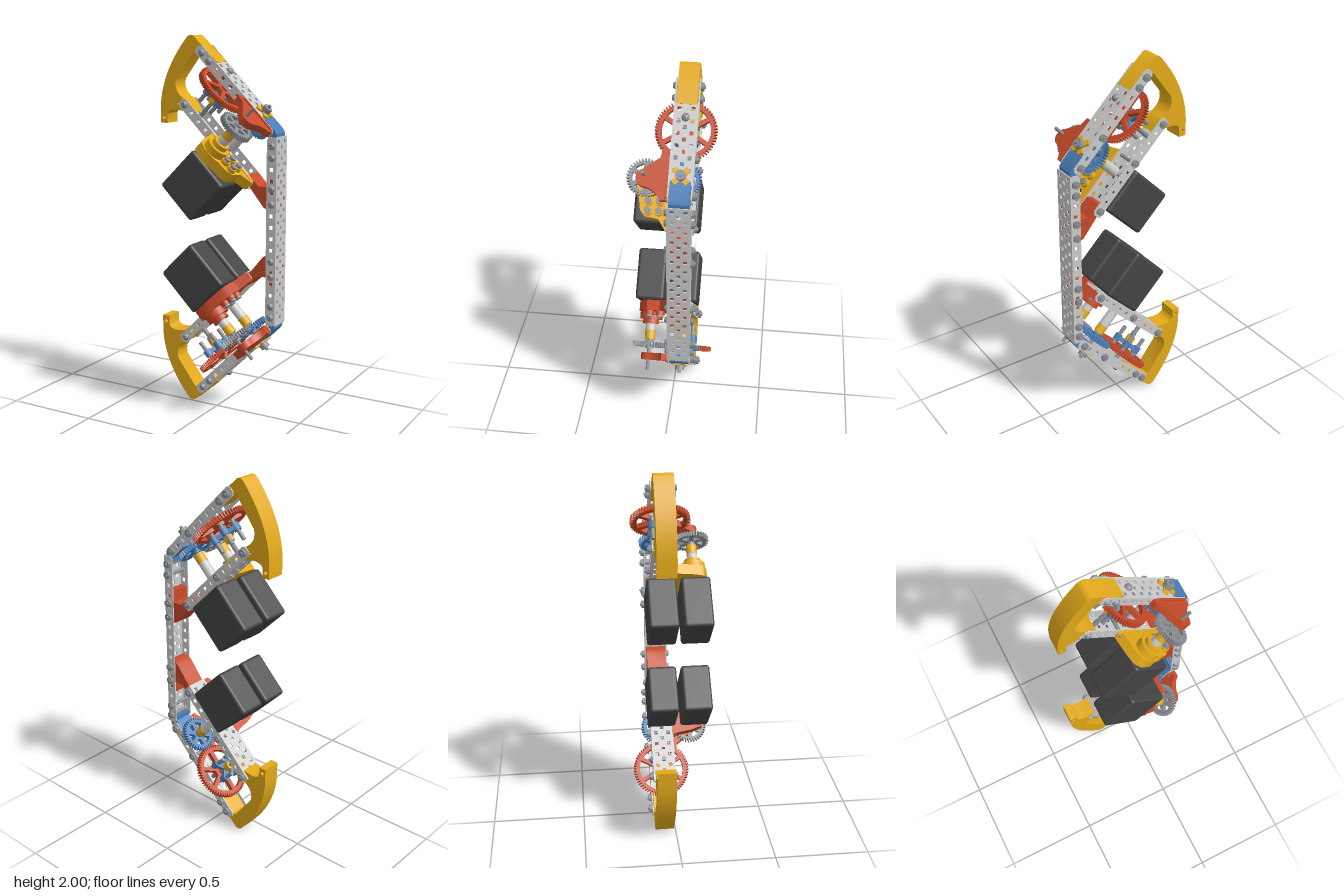
import * as THREE from 'three';
import { toCreasedNormals } from 'three/addons/utils/BufferGeometryUtils.js';
import { RoundedBoxGeometry } from 'three/addons/geometries/RoundedBoxGeometry.js';

const mat = (color) => new THREE.MeshStandardMaterial({ color });
const STEEL = mat(0xcccccc), BOLT = mat(0x8c9094), DARK = mat(0x444444);
const YELLOW = mat(0xe3aa1a), RED = mat(0xc64a29), BLUE = mat(0x4a7fb8);
const Z0 = -0.06, Z1 = 0.117; // depth of the channel centre and of the front motor shaft
const AXLE = 0.33; // position of the motor axles along the arm

function add(parent, name, geometry, material, x = 0, y = 0, z = 0) {
  const m = new THREE.Mesh(geometry, material);
  m.name = name;
  m.position.set(x, y, z);
  parent.add(m);
  return m;
}

const poly = (pts) => new THREE.Shape(pts.map(([x, y]) => new THREE.Vector2(x, y)));
const extrude = (shape, depth) => toCreasedNormals(
  new THREE.ExtrudeGeometry(shape, { depth, bevelEnabled: false, curveSegments: 10 }), 0.55);
// Plate lying across the arm: shape in (along, z), running from y = top downwards
const crossPlate = (shape, depth, top) => extrude(shape, depth).rotateX(Math.PI / 2).translate(0, top, 0);

function squareHole(shape, x, y, s = 0.009) {
  const h = new THREE.Path();
  h.moveTo(x - s, y - s).lineTo(x - s, y + s).lineTo(x + s, y + s).lineTo(x + s, y - s).closePath();
  shape.holes.push(h);
}

// Rounded strip from x0 to x1
function capsule(x0, x1, r) {
  const s = new THREE.Shape();
  s.absarc(x1, 0, r, -Math.PI / 2, Math.PI / 2);
  s.absarc(x0, 0, r, Math.PI / 2, Math.PI * 1.5);
  return s;
}

// Perforated C-channel along x; web on the side given by sign
function channel(name, x0, x1, web0, web1, sign, firstHole) {
  const g = new THREE.Group(), h = 0.0275, c = 0.014, t = 0.006;
  g.name = name;
  const f = poly([[x0 + c, -h], [x1 - c, -h], [x1, -h + c], [x1, h - c], [x1 - c, h], [x0 + c, h], [x0, h - c], [x0, -h + c]]);
  for (let x = firstHole; x < x1 - 0.012; x += 0.06) squareHole(f, x, 0, 0.01);
  const flange = extrude(f, t);
  add(g, 'frontFlange', flange, STEEL, 0, 0, -t);
  add(g, 'backFlange', flange, STEEL, 0, 0, -0.12);
  const w = poly([[web0, -0.12], [web1, -0.12], [web1, 0], [web0, 0]]);
  let row = 0;
  for (let x = web0 + 0.022; x < web1 - 0.014; x += 0.03, row++) {
    for (const z of row % 2 ? [0] : [-0.033, 0.033]) squareHole(w, x, Z0 + z, 0.0095);
  }
  add(g, 'web', crossPlate(w, t, sign > 0 ? h : -h + t), STEEL);
  return g;
}

// Screw head in front, nut and thread end behind
function bolt(parent, x, y, front = 0) {
  const head = new THREE.CylinderGeometry(0.012, 0.02, 0.014, 12).rotateX(Math.PI / 2);
  const nut = new THREE.CylinderGeometry(0.021, 0.021, 0.016, 6).rotateX(Math.PI / 2);
  const thread = new THREE.CylinderGeometry(0.01, 0.01, 0.14, 10).rotateX(Math.PI / 2);
  add(parent, 'boltHead', head, BOLT, x, y, front + 0.007);
  add(parent, 'nut', nut, BOLT, x, y, -0.128);
  add(parent, 'boltThread', thread, BOLT, x, y, -0.073);
}

// Toothed wheel with spokes, axis along y
function gear(parent, name, r, teeth, hubR, rimR, material, x, y, z) {
  const pts = [];
  for (let i = 0; i < teeth; i++) {
    for (const [k, q] of [[0, r - 0.014], [0.3, r - 0.014], [0.5, r], [0.8, r]]) {
      const a = ((i + k) / teeth) * Math.PI * 2;
      pts.push([Math.cos(a) * q, Math.sin(a) * q]);
    }
  }
  const s = poly(pts);
  for (let i = 0; i < 6; i++) {
    const a = (i * Math.PI) / 3, go = 0.011 / rimR, gi = 0.011 / hubR, b = a + Math.PI / 3;
    const h = new THREE.Path();
    h.absarc(0, 0, rimR, a + go, b - go, false);
    h.absarc(0, 0, hubR, b - gi, a + gi, true);
    h.closePath();
    s.holes.push(h);
  }
  add(parent, name, crossPlate(s, 0.026, 0.013), material, x, y, z);
  rod(parent, name + 'Hub', 0.022, y - 0.025, y + 0.022, material, x, z);
}

function rod(parent, name, r, y0, y1, material, x, z, sides = 18) {
  add(parent, name, new THREE.CylinderGeometry(r, r, y1 - y0, sides), material, x, (y0 + y1) / 2, z);
}

// Everything that sits on the slanted arm: x along the arm, y outwards
function slantedArm(mountMaterial) {
  const arm = new THREE.Group();
  arm.name = 'slantedArm';
  arm.position.set(-0.2, 1.638, 0);
  arm.rotation.z = -Math.PI / 4;

  const outer = channel('outerBeam', -0.155, 0.455, -0.02, 0.37, 1, -0.116);
  outer.position.y = 0.267;
  arm.add(outer, channel('innerBeam', -0.03, 0.565, -0.03, 0.565, -1, 0));
  for (const x of [-0.116, -0.056]) bolt(arm, x, 0.267);
  for (const x of [0.24, 0.42]) bolt(arm, x, 0.267, 0.012);
  bolt(arm, 0, 0);
  for (const x of [0.239, 0.535]) bolt(arm, x, 0, 0.012);

  // Motors, one behind the other
  for (const z of [Z0, Z1]) {
    add(arm, 'motor', new RoundedBoxGeometry(0.251, 0.275, 0.153, 3, 0.016), DARK, 0.388, -0.168, z);
  }

  // Motor mount with stepped collar
  const mount = poly([[0.22, -0.004], [0.56, -0.004], [0.56, 0.02], [0.5, 0.06], [0.49, 0.13], [0.46, 0.155],
    [0.4, 0.165], [0.365, 0.182], [0.3, 0.182], [0.26, 0.16], [0.24, 0.1], [0.23, 0.04]]);
  add(arm, 'motorMount', crossPlate(mount, 0.055, 0.025), mountMaterial);
  add(arm, 'mountFlange', extrude(capsule(0.239, 0.535, 0.028), 0.012), mountMaterial);
  rod(arm, 'mountCollar', 0.062, 0.02, 0.065, mountMaterial, AXLE, Z1, 28);
  rod(arm, 'mountBoss', 0.044, 0.06, 0.09, mountMaterial, AXLE, Z1, 28);
  for (const [x, z] of [[0.412, 0.117], [0.462, 0.117], [0.412, 0.06], [0.462, 0.06]]) {
    rod(arm, 'mountPad', 0.024, 0.02, 0.045, mountMaterial, x, z);
    rod(arm, 'mountScrew', 0.017, 0.045, 0.058, BOLT, x, z, 12);
  }

  // Drive axles with sleeves and spacers
  for (const z of [Z0, Z1]) {
    rod(arm, 'driveAxle', 0.009, -0.03, 0.345, BOLT, AXLE, z, 8);
    rod(arm, 'axleSleeve', 0.027, 0.02, 0.125, STEEL, AXLE, z);
    rod(arm, 'axleSpacer', 0.028, 0.125, 0.175, YELLOW, AXLE, z);
  }
  rod(arm, 'axleCollar', 0.025, 0.298, 0.33, BOLT, AXLE, Z0);

  // Cross-shaped bearing on the outer web
  for (const a of [Math.PI / 4, -Math.PI / 4]) {
    const bar = add(arm, 'bearing', new THREE.BoxGeometry(0.1, 0.012, 0.03), YELLOW, AXLE, 0.298, Z0);
    bar.rotation.y = a;
  }

  // Gear train
  gear(arm, 'frontDriveGear', 0.093, 36, 0.034, 0.066, BOLT, AXLE, 0.205, Z1);
  gear(arm, 'backDriveGear', 0.095, 36, 0.034, 0.066, BLUE, AXLE, 0.205, Z0);
  gear(arm, 'largeGear', 0.152, 60, 0.045, 0.12, RED, 0.088, 0.2, Z0);

  // Spindle with blue cross hub and pins on the large gear
  rod(arm, 'spindle', 0.012, -0.03, 0.29, BOLT, 0.088, Z0, 8);
  rod(arm, 'spindleSpacer', 0.024, 0.1, 0.16, YELLOW, 0.088, Z0);
  for (const a of [Math.PI / 4, -Math.PI / 4]) {
    const bar = add(arm, 'crossHub', new THREE.BoxGeometry(0.13, 0.024, 0.032), BLUE, 0.088, 0.15, Z0);
    bar.rotation.y = a;
  }
  for (let i = 0; i < 4; i++) {
    const a = Math.PI / 4 + (i * Math.PI) / 2;
    const x = 0.088 + Math.cos(a) * 0.062, z = Z0 + Math.sin(a) * 0.062;
    rod(arm, 'pinSocket', 0.021, 0.13, 0.17, BLUE, x, z, 6);
    rod(arm, 'pin', 0.011, 0.075, 0.2, BOLT, x, z, 10);
  }
  add(arm, 'webScrew', new THREE.SphereGeometry(0.02, 14, 6, 0, Math.PI * 2, 0, Math.PI / 2), BOLT, 0.045, 0.294, Z0);

  // Outer axle support reaching forward from the beam
  const support = new THREE.Shape();
  support.moveTo(0.2, -0.002);
  support.lineTo(0.45, -0.002);
  support.lineTo(0.45, 0.035);
  support.quadraticCurveTo(0.4, 0.055, 0.388, 0.117);
  support.absarc(0.345, 0.112, 0.043, 0.1, Math.PI * 0.9);
  support.lineTo(0.245, 0.045);
  support.lineTo(0.2, 0.035);
  add(arm, 'axleSupport', crossPlate(support, 0.038, 0.288), RED);
  add(arm, 'supportFlange', extrude(capsule(0.235, 0.425, 0.0275), 0.012), RED, 0, 0.267, 0);
  return arm;
}

// Upper half: arm, claw and joints
function half(mountMaterial) {
  const g = new THREE.Group();
  g.name = 'half';
  g.add(slantedArm(mountMaterial));

  const claw = new THREE.Shape();
  claw.moveTo(-0.15, 1.995);
  claw.quadraticCurveTo(-0.17, 2.005, -0.19, 1.985);
  claw.quadraticCurveTo(-0.345, 1.805, -0.353, 1.62);
  claw.lineTo(-0.353, 1.536);
  claw.lineTo(-0.312, 1.536);
  claw.lineTo(-0.312, 1.585);
  claw.quadraticCurveTo(-0.3, 1.615, -0.24, 1.608);
  claw.lineTo(-0.19, 1.6);
  claw.lineTo(-0.15, 1.6);
  claw.lineTo(-0.19, 1.66);
  claw.quadraticCurveTo(-0.275, 1.7, -0.255, 1.77);
  claw.lineTo(-0.145, 1.915);
  claw.lineTo(-0.125, 1.917);
  claw.lineTo(-0.037, 1.829);
  claw.lineTo(-0.004, 1.862);
  claw.closePath();
  const tip = new THREE.Path();
  tip.absarc(-0.332, 1.567, 0.01, 0, Math.PI * 2, true);
  claw.holes.push(tip);
  add(g, 'claw', extrude(claw, 0.1), YELLOW, 0, 0, -0.11);

  const corner = poly([[0.338, 1.46], [0.338, 1.512], [0.328, 1.528], [0.26, 1.597], [0.222, 1.56], [0.296, 1.487], [0.296, 1.46]]);
  add(g, 'cornerJoint', extrude(corner, 0.1), BLUE, 0, 0, -0.11);
  const brace = poly([[0.15, 1.285], [0.185, 1.235], [0.225, 1.185], [0.27, 1.13], [0.3, 1.115], [0.336, 1.115], [0.336, 1.3],
    [0.295, 1.3], [0.293, 1.238], [0.24, 1.238], [0.18, 1.295]]);
  add(g, 'brace', extrude(brace, 0.104), RED, 0, 0, -0.112);
  for (const y of [1.45, 1.39, 1.23, 1.15]) bolt(g, 0.3175, y);
  return g;
}

// Mirrors a group about y = 1, keeping faces outward
function mirrored(source) {
  const out = new THREE.Group();
  const flip = new THREE.Matrix4().makeTranslation(0, 2, 0).scale(new THREE.Vector3(1, -1, 1));
  source.updateMatrixWorld(true);
  source.traverse((m) => {
    if (!m.isMesh) return;
    const geo = m.geometry.clone().applyMatrix4(m.matrixWorld).applyMatrix4(flip);
    const n = geo.attributes.position.count;
    const idx = geo.index ? Array.from(geo.index.array) : Array.from({ length: n }, (_, i) => i);
    for (let i = 0; i < idx.length; i += 3) [idx[i], idx[i + 1]] = [idx[i + 1], idx[i]];
    geo.setIndex(idx);
    add(out, m.name, geo, m.material);
  });
  return out;
}

export function createModel() {
  const model = new THREE.Group();
  model.name = 'gripper';
  const upper = half(YELLOW), lower = mirrored(half(RED));
  upper.name = 'upperHalf';
  lower.name = 'lowerHalf';
  const spine = channel('spineBeam', 0, 0.99, 0, 0.99, 1, 0.045);
  spine.rotation.z = -Math.PI / 2;
  spine.position.set(0.3175, 1.495, 0);
  model.add(upper, lower, spine);
  return model;
}
